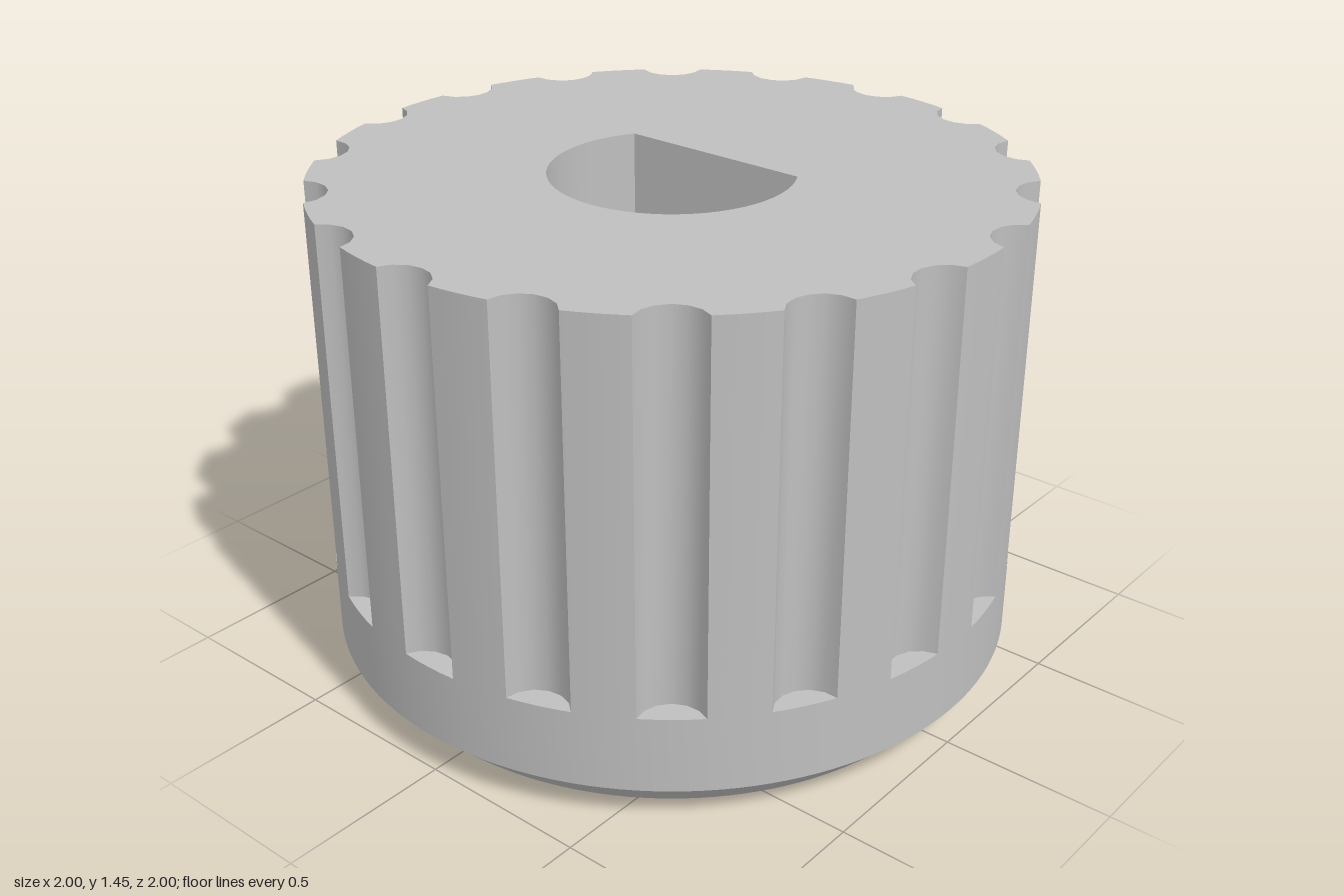
import * as THREE from 'three';
import { toCreasedNormals } from 'three/addons/utils/BufferGeometryUtils.js';

const HEIGHT = 1.445, LEDGE = 0.335, FLOOR = 0.335;
const GROOVES = 18, STEP = (Math.PI * 2) / GROOVES;
const CREASE = 0.5;

// Points along a circular arc, both ends included
function arc(cx, r, from, to, segments) {
  return Array.from({ length: segments + 1 }, (_, i) => {
    const a = from + ((to - from) * i) / segments;
    return new THREE.Vector2(cx + r * Math.cos(a), r * Math.sin(a));
  });
}

const turn = (points, angle) =>
  points.map((p) => p.clone().rotateAround(new THREE.Vector2(), angle));

// Upright wall following a closed outline; counterclockwise faces outward
function wall(outline, y0, y1) {
  const pos = [];
  outline.forEach((p, i) => {
    const q = outline[(i + 1) % outline.length];
    pos.push(p.x, y0, -p.y, q.x, y0, -q.y, q.x, y1, -q.y);
    pos.push(p.x, y0, -p.y, q.x, y1, -q.y, p.x, y1, -p.y);
  });
  const g = new THREE.BufferGeometry();
  g.setAttribute('position', new THREE.Float32BufferAttribute(pos, 3));
  return toCreasedNormals(g, CREASE);
}

// Level face looking upward
function level(outline, y, hole) {
  const shape = new THREE.Shape(outline);
  if (hole) shape.holes.push(new THREE.Path(hole));
  return new THREE.ShapeGeometry(shape).rotateX(-Math.PI / 2).translate(0, y, 0);
}

export function createModel() {
  const group = new THREE.Group();
  const grey = new THREE.MeshStandardMaterial({ color: 0xbfbfbf });
  grey.name = 'grey plastic';
  const add = (name, geometry) => {
    const mesh = new THREE.Mesh(geometry, grey);
    mesh.name = name;
    group.add(mesh);
  };

  // Scalloped grip outline: one groove and one land, repeated
  const half = Math.asin(0.09);
  const rimX = Math.cos(half), centreX = 1.025, grooveR = Math.hypot(centreX - rimX, 0.09);
  const open = Math.atan2(0.09, rimX - centreX);
  const groove = arc(centreX, grooveR, Math.PI * 2 - open, open, 6);
  const land = arc(0, 1, half, STEP - half, 4).slice(1, -1);
  const outline = [];
  for (let i = 0; i < GROOVES; i++) outline.push(...turn([...groove, ...land], i * STEP));

  // D-shaped shaft socket outline
  const flat = Math.acos(0.18 / 0.345);
  const socket = arc(0, 0.345, flat, Math.PI * 2 - flat, 40);

  // Base collar with chamfered underside
  const profile = [[0, 0], [0.89, 0], [1, 0.11], [1, LEDGE]].map((p) => new THREE.Vector2(...p));
  add('baseCollar', toCreasedNormals(new THREE.LatheGeometry(profile, 144), CREASE));

  // Grip
  add('gripWall', wall(outline, LEDGE, HEIGHT));
  add('topFace', level(outline, HEIGHT, socket));

  // Ledges closing the lower end of each groove
  const ledge = [...groove, ...arc(0, 1, half, -half, 4).slice(1, -1)].reverse();
  for (let i = 0; i < GROOVES; i++) add('grooveLedge', level(turn(ledge, i * STEP), LEDGE));

  // Socket
  add('socketWall', wall([...socket].reverse(), FLOOR, HEIGHT));
  add('socketFloor', level(socket, FLOOR));

  return group;
}
